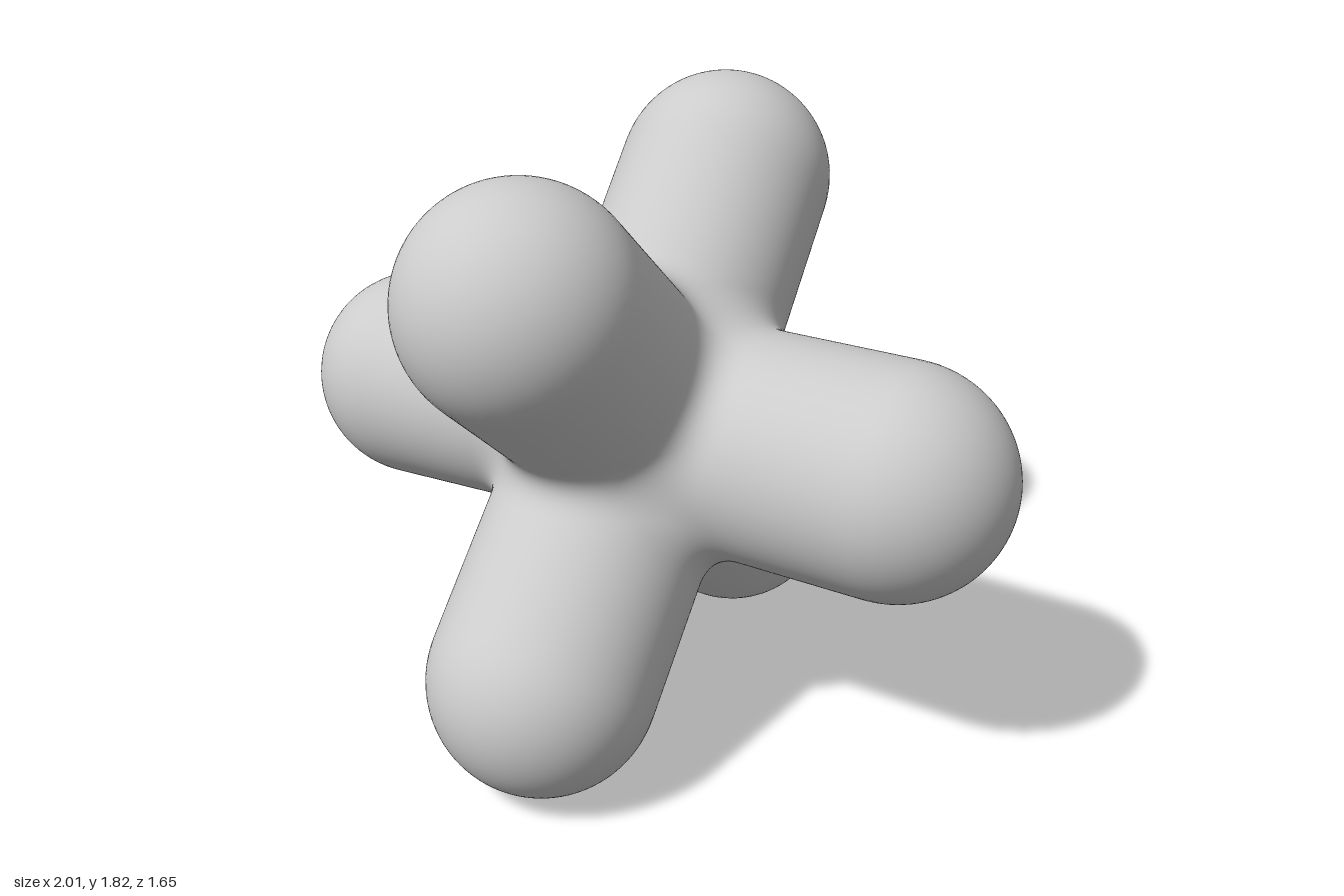
import * as THREE from 'three';
import { mergeVertices } from 'three/addons/utils/BufferGeometryUtils.js';

const CENTRE = new THREE.Vector3(0, 0.91, 0);

// Rounded arms: centre of each tip, and radius
const ARMS = [
  { tip: [-0.33, 1.45, 0.5], r: 0.33 },   // front upper
  { tip: [-0.3, 0.33, 0.5], r: 0.33 },    // front lower
  { tip: [0.28, 1.5, -0.49], r: 0.325 },  // back upper
  { tip: [0.33, 0.35, -0.5], r: 0.325 },  // back lower
  { tip: [0.67, 0.92, 0.47], r: 0.335 },  // left
  { tip: [-0.68, 0.88, -0.44], r: 0.325 } // right
].map(({ tip, r }) => ({ axis: new THREE.Vector3(...tip).sub(CENTRE), r }));

const BLEND = 0.1; // softness of the joints between arms

// Distance from a point to one arm (a capsule starting at the centre)
const nearest = new THREE.Vector3();
function armDistance(p, { axis, r }) {
  const t = THREE.MathUtils.clamp(p.dot(axis) / axis.lengthSq(), 0, 1);
  return nearest.copy(axis).multiplyScalar(t).distanceTo(p) - r;
}

// Smooth union of all arms
function bodyDistance(p) {
  return ARMS.map((arm) => armDistance(p, arm)).reduce((a, b) => {
    const h = Math.max(BLEND - Math.abs(a - b), 0) / BLEND;
    return Math.min(a, b) - h * h * BLEND * 0.25;
  });
}

// Push every vertex of a sphere out along its ray to the blended surface
function bodyGeometry() {
  let geometry = new THREE.IcosahedronGeometry(1, 64);
  geometry.deleteAttribute('uv');
  geometry.deleteAttribute('normal');
  geometry = mergeVertices(geometry, 1e-5);
  const position = geometry.attributes.position;
  const dir = new THREE.Vector3();
  const p = new THREE.Vector3();
  for (let i = 0; i < position.count; i++) {
    dir.fromBufferAttribute(position, i).normalize();
    let inside = 0, outside = 1.5;
    for (let k = 0; k < 18; k++) {
      const mid = (inside + outside) / 2;
      if (bodyDistance(p.copy(dir).multiplyScalar(mid)) < 0) inside = mid;
      else outside = mid;
    }
    p.copy(dir).multiplyScalar(inside).add(CENTRE);
    position.setXYZ(i, p.x, p.y, p.z);
  }
  geometry.computeVertexNormals();
  return geometry;
}

export function createModel() {
  const group = new THREE.Group();
  group.name = 'sixArmedJack';
  const body = new THREE.Mesh(bodyGeometry(), new THREE.MeshStandardMaterial({ color: 0xcccccc }));
  body.name = 'blendedArms';
  group.add(body);
  return group;
}
